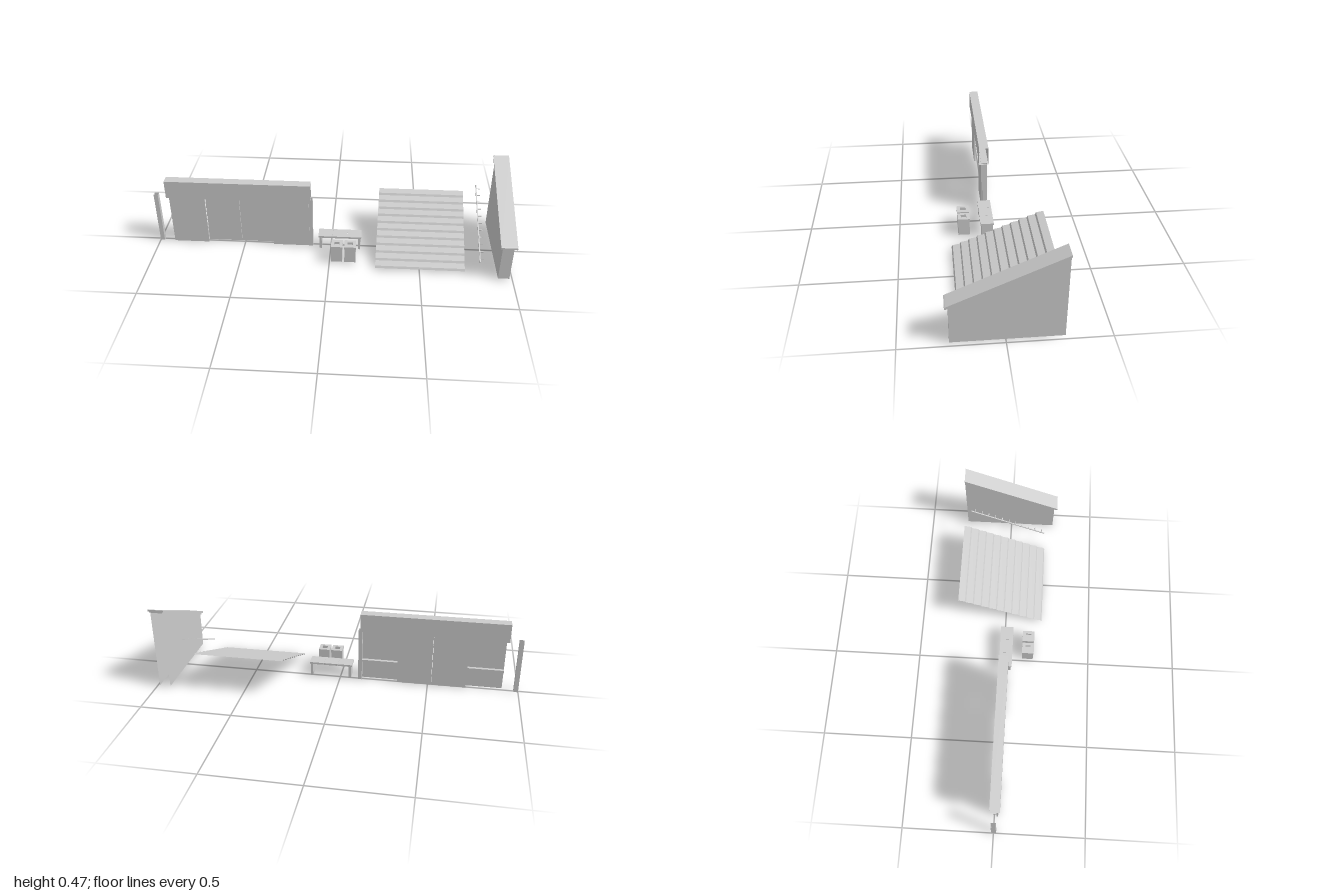
import * as THREE from 'three';

const material = new THREE.MeshStandardMaterial({ color: 0xcccccc, side: THREE.DoubleSide, flatShading: true });

function add(parent, name, geometry) {
  const mesh = new THREE.Mesh(geometry, material);
  mesh.name = name;
  parent.add(mesh);
  return mesh;
}

// Box given by its limits on each axis
function box(parent, name, x0, x1, y0, y1, z0, z1) {
  const mesh = add(parent, name, new THREE.BoxGeometry(x1 - x0, y1 - y0, z1 - z0));
  mesh.position.set((x0 + x1) / 2, (y0 + y1) / 2, (z0 + z1) / 2);
  return mesh;
}

// Open sheet swept between two matching lists of [x, y, z] points
function sheet(parent, name, a, b) {
  const index = [];
  for (let i = 0; i < a.length - 1; i++) {
    const j = i + a.length;
    index.push(i, j, i + 1, i + 1, j, j + 1);
  }
  const geometry = new THREE.BufferGeometry();
  geometry.setAttribute('position', new THREE.Float32BufferAttribute([...a, ...b].flat(), 3));
  geometry.setIndex(index);
  const flat = geometry.toNonIndexed();
  flat.computeVertexNormals();
  return add(parent, name, flat);
}

// Hollow upright post without caps
function post(parent, name, x0, x1, y0, y1, z0, z1) {
  const ring = (y) => [[x0, y, z0], [x0, y, z1], [x1, y, z1], [x1, y, z0], [x0, y, z0]];
  return sheet(parent, name, ring(y1), ring(y0));
}

// Side profile in (z, y) extruded along x
function profile(parent, name, points, x0, x1) {
  const shape = new THREE.Shape(points.map(([z, y]) => new THREE.Vector2(-z, y)));
  const geometry = new THREE.ExtrudeGeometry(shape, { depth: x1 - x0, bevelEnabled: false });
  geometry.rotateY(Math.PI / 2);
  geometry.translate(x0, 0, 0);
  return add(parent, name, geometry);
}

function group(parent, name) {
  const g = new THREE.Group();
  g.name = name;
  parent.add(g);
  return g;
}

export function createModel() {
  const model = group(new THREE.Group(), 'shelterKit');
  model.removeFromParent();

  // Loose post
  post(model, 'loosePost', -1, -0.976, 0, 0.31, -0.011, 0.015);

  // Front wall: fixed side panels, two doors set behind them, hollow header
  const wall = group(model, 'frontWall');
  for (const [x0, x1] of [[-0.912, -0.71], [-0.33, -0.124]]) {
    box(wall, 'sidePanel', x0, x1, 0.004, 0.31, 0.013, 0.021);
    box(wall, 'backRail', x0, x1, 0.113, 0.124, -0.005, 0.013);
  }
  for (const x of [-0.713, -0.519]) box(wall, 'door', x, x + 0.192, 0.004, 0.31, -0.013, -0.004);
  post(wall, 'endPost', -0.125, -0.104, 0, 0.31, -0.011, 0.017);
  const header = (x) => [[x, 0.305, -0.02], [x, 0.305, 0.033], [x, 0.41, 0.033], [x, 0.41, -0.02], [x, 0.305, -0.02]];
  sheet(wall, 'header', header(-0.925), header(-0.115));

  // Bench with three gently dished seats
  const bench = group(model, 'bench');
  for (let i = 0; i < 3; i++) {
    const x = -0.07 + i * 0.0817;
    box(bench, 'seat', x, x + 0.0807, 0.082, 0.093, -0.024, 0.05);
  }
  for (const x of [-0.064, 0.156]) box(bench, 'benchLeg', x, x + 0.013, 0.007, 0.083, -0.019, 0.045);

  // Two bins with a square opening in the lid
  for (const x of [0.041, 0.115]) {
    const bin = group(model, 'bin');
    bin.position.set(x, 0, 0.14);
    box(bin, 'binBody', -0.031, 0.031, 0.01, 0.096, -0.032, 0.032);
    const lid = new THREE.Shape([[-1, -1], [1, -1], [1, 1], [-1, 1]].map(([u, v]) => new THREE.Vector2(u * 0.032, v * 0.034)));
    lid.holes.push(new THREE.Path([[-1, -1], [-1, 1], [1, 1], [1, -1]].map(([u, v]) => new THREE.Vector2(u * 0.015, v * 0.015))));
    const top = add(bin, 'binLid', new THREE.ExtrudeGeometry(lid, { depth: 0.016, bevelEnabled: false }));
    top.rotation.x = -Math.PI / 2;
    top.position.y = 0.096;
  }

  // Stepped roof sheet, slightly skewed sideways as it climbs
  const rows = 11, left = [], right = [];
  const roofPoint = (t, y) => {
    const z = 0.215 - 0.493 * t, shift = 0.014 * t;
    left.push([0.256 + shift, y, z]);
    right.push([0.748 + shift, y, z]);
  };
  for (let i = 0; i < rows; i++) {
    const y = 0.01 + i * 0.0195;
    roofPoint(i / rows, y);
    roofPoint((i + 0.14) / rows, y + 0.0115);
    roofPoint((i + 1) / rows, y + 0.0195);
  }
  sheet(model, 'roofSheet', right, left);

  // Sloping edge rod with short pegs
  const rod = group(model, 'edgeRod');
  rod.position.set(0.826, 0.18, -0.015);
  rod.rotation.x = Math.atan2(0.22, 0.45);
  box(rod, 'rod', -0.003, 0.003, -0.003, 0.003, -0.25, 0.25);
  for (let i = 0; i < rows; i++) {
    const z = -0.226 + i * 0.0455;
    box(rod, 'peg', 0.003, 0.021, -0.002, 0.002, z - 0.002, z + 0.002);
  }

  // Gable end: two side sheets and a front strip, open at back and bottom
  const gable = group(model, 'gableEnd');
  const [x0, x1, zf, zb] = [0.922, 0.983, 0.26, -0.276];
  const outline = (low) => [[x0, low ? 0.007 : 0.46, zb], [x0, low ? 0.007 : 0.212, zf],
    [x1, low ? 0.007 : 0.212, zf], [x1, low ? 0.007 : 0.46, zb]];
  sheet(gable, 'gableWalls', outline(false), outline(true));

  // Sloping cap and the trim under it
  profile(gable, 'gableCap', [[0.277, 0.213], [0.277, 0.223], [0.272, 0.226], [zb, 0.471], [zb, 0.461], [0.27, 0.213]], 0.909, 0.997);
  profile(gable, 'capTrim', [[0.264, 0.208], [0.264, 0.217], [zb, 0.462], [zb, 0.454], [0.26, 0.208]], 0.916, 0.99);

  return model;
}
